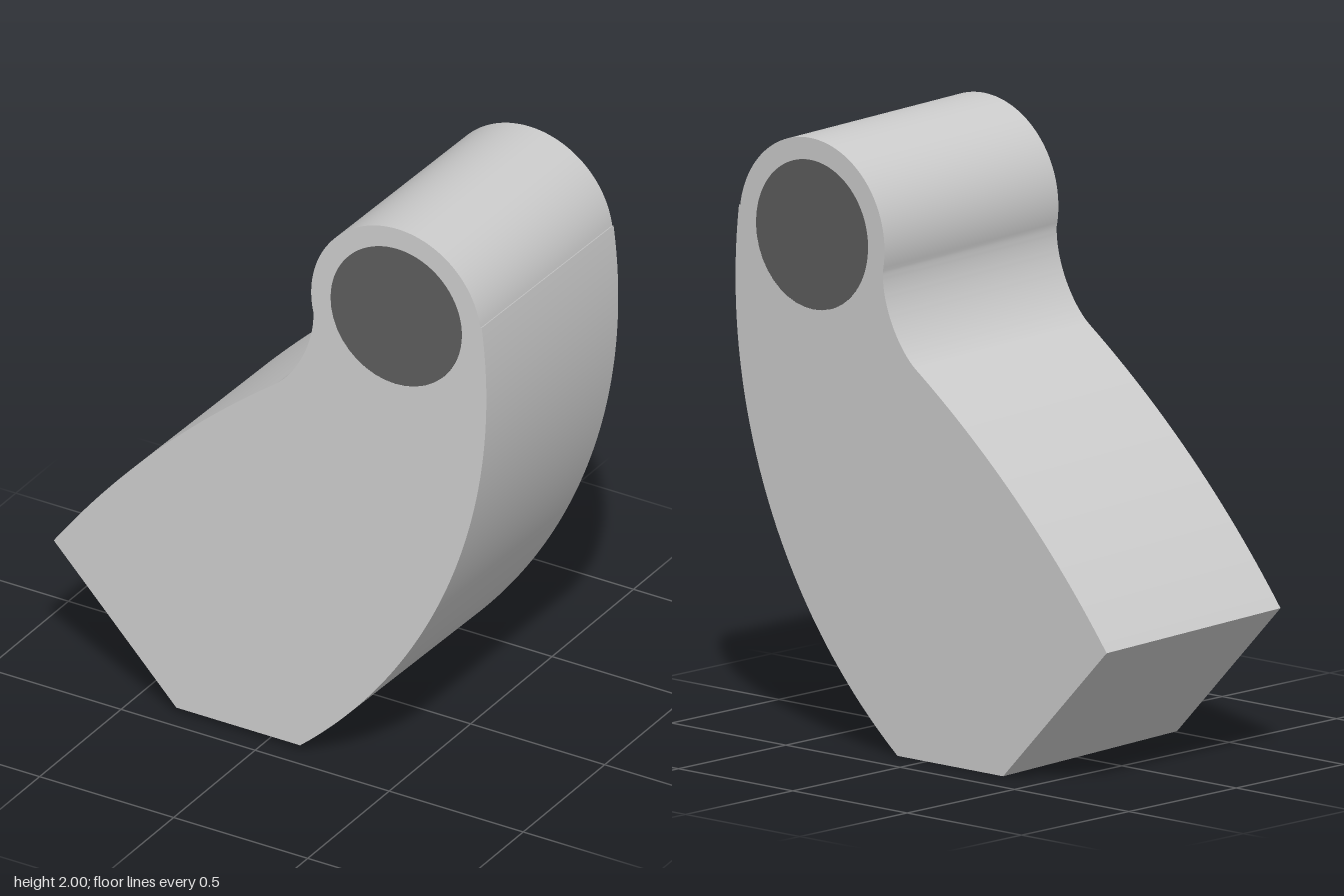
import * as THREE from 'three';
import { toCreasedNormals } from 'three/addons/utils/BufferGeometryUtils.js';

const DEPTH = 0.81, TILT = -0.028, LIFT = 0.0115;
const EYE = { x: 0.457, y: 1.683, r: 0.317, bore: 0.245 };

// Side profile, walked counter-clockwise from the lower left corner
function leverShape() {
  const s = new THREE.Shape();
  s.moveTo(-0.335, 0.025);
  s.lineTo(0.118, 0.025);
  // long outer sweep up to the eye
  const R = 1.85, cx = -1.053, cy = 1.45;
  s.absarc(cx, cy, R, Math.asin((0.025 - cy) / R), Math.asin((1.735 - cy) / R), false);
  // rounded eye
  s.absarc(EYE.x, EYE.y, EYE.r, 0.16, Math.PI + 0.24, false);
  // concave neck, then the upper edge
  s.bezierCurveTo(0.157, 1.5, 0.09, 1.36, 0.008, 1.302);
  s.quadraticCurveTo(-0.46, 0.96, -0.8, 0.495);
  s.closePath();
  const bore = new THREE.Path();
  bore.absarc(EYE.x, EYE.y, EYE.bore, 0, Math.PI * 2, true);
  s.holes.push(bore);
  return s;
}

export function createModel() {
  const group = new THREE.Group();
  const tilted = new THREE.Group();
  tilted.name = 'tiltedLever';
  tilted.position.y = 1;
  tilted.rotation.x = TILT;
  group.add(tilted);

  // Lever body
  const bodyGeo = new THREE.ExtrudeGeometry(leverShape(), { depth: DEPTH, bevelEnabled: false, curveSegments: 40 });
  bodyGeo.translate(0, -1 - LIFT, -DEPTH / 2);
  const body = new THREE.Mesh(toCreasedNormals(bodyGeo, 0.4), new THREE.MeshStandardMaterial({ color: 0xcccccc }));
  body.name = 'leverBody';
  tilted.add(body);

  // Dark pin filling the bore, flush with both faces
  const pinGeo = new THREE.CylinderGeometry(EYE.bore, EYE.bore, DEPTH, 40);
  pinGeo.rotateX(Math.PI / 2);
  const pin = new THREE.Mesh(pinGeo, new THREE.MeshStandardMaterial({ color: 0x5c5c5c }));
  pin.name = 'pivotPin';
  pin.position.set(EYE.x, EYE.y - 1 - LIFT, 0);
  tilted.add(pin);

  return group;
}
